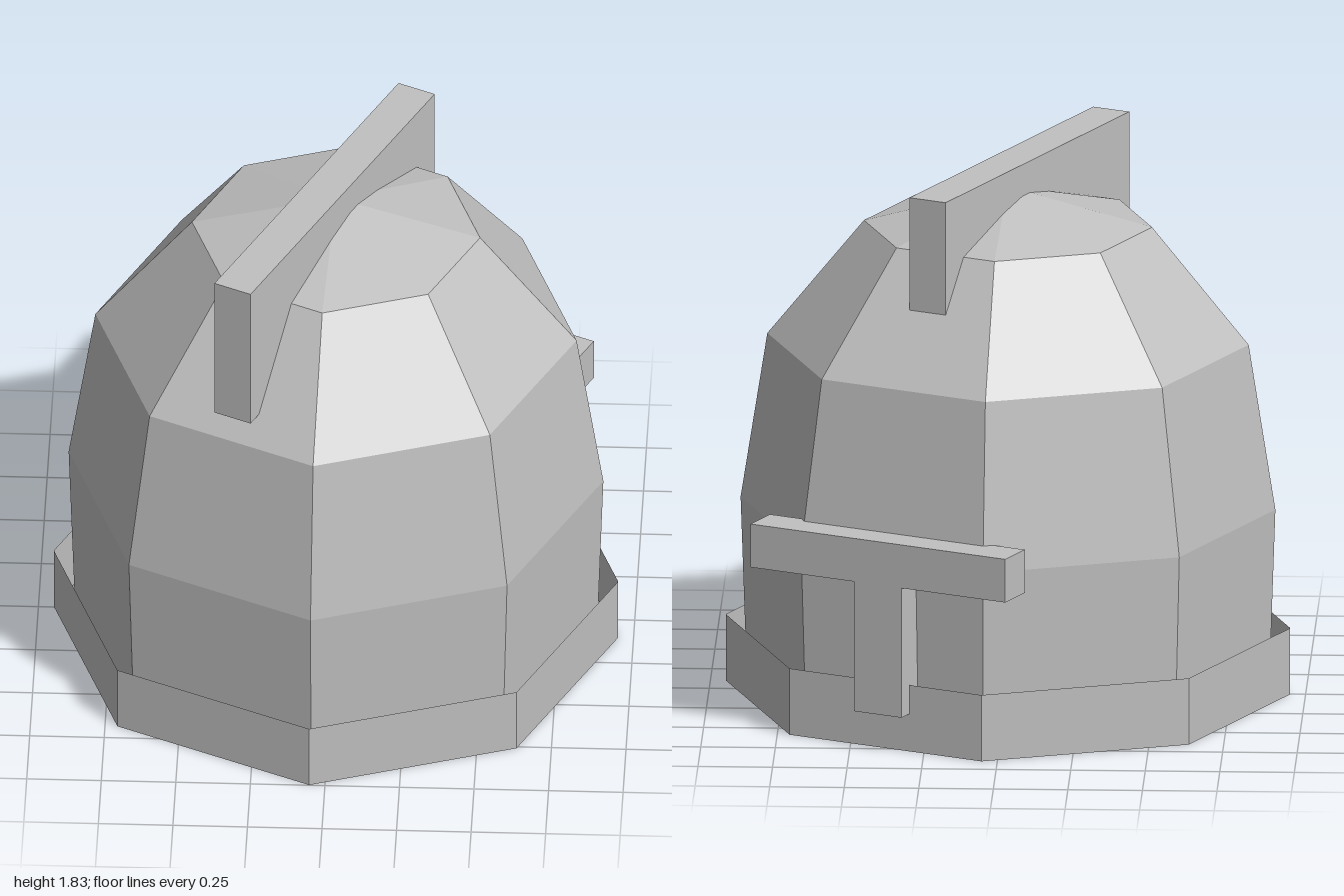
import * as THREE from 'three';

export function createModel() {
  const model = new THREE.Group();
  model.name = 'helmet';
  const grey = new THREE.MeshStandardMaterial({ color: 0xc0c0c0, flatShading: true, side: THREE.DoubleSide });
  grey.name = 'grey metal';

  const SIDES = 8;
  const VERTEX_TURN = -0.056;              // twist of the octagon about y
  const CREST_TURN = VERTEX_TURN - Math.PI / SIDES; // middle of a facet

  const add = (parent, name, geometry) => {
    const mesh = new THREE.Mesh(geometry, grey);
    mesh.name = name;
    parent.add(mesh);
    return mesh;
  };

  // everything shares one axis, slightly forward of the origin
  const body = new THREE.Group();
  body.name = 'body';
  body.position.z = 0.05;
  model.add(body);

  // faceted open dome, from rim to apex
  const profile = [[0.88, 0.05], [0.9, 0.64], [0.81, 1.21], [0.485, 1.61], [0, 1.74]]
    .map(([r, y]) => new THREE.Vector2(r, y));
  add(body, 'dome', new THREE.LatheGeometry(profile, SIDES, VERTEX_TURN));

  // open vertical band around the rim
  const band = add(body, 'rimBand',
    new THREE.CylinderGeometry(0.95, 0.95, 0.23, SIDES, 1, true, VERTEX_TURN));
  band.position.y = 0.115;

  // crest and T-shaped guard, lined up with a pair of facets
  const fittings = new THREE.Group();
  fittings.name = 'fittings';
  fittings.rotation.y = CREST_TURN;
  body.add(fittings);

  const box = (name, w, h, d, y, z) =>
    add(fittings, name, new THREE.BoxGeometry(w, h, d)).position.set(0, y, z);
  box('crest', 0.137, 0.53, 1.316, 1.565, 0.082);
  box('guardBar', 0.966, 0.15, 0.14, 0.655, -0.863);
  box('guardStem', 0.18, 0.45, 0.14, 0.355, -0.863);

  return model;
}
